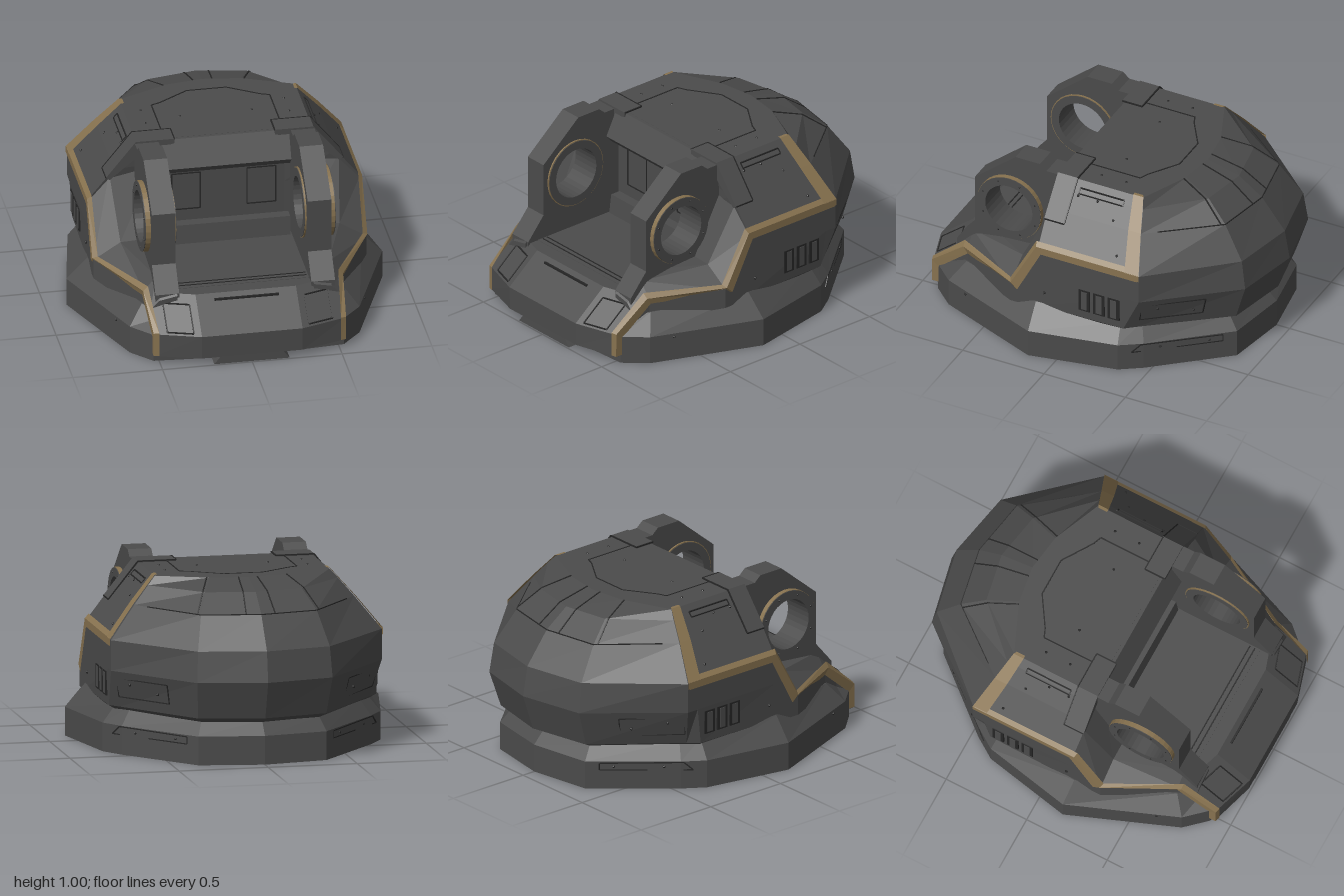
import * as THREE from 'three';

const mat = (name, color, extra = {}) => {
  const m = new THREE.MeshStandardMaterial({ color, flatShading: true, ...extra });
  m.name = name;
  return m;
};

export function createModel() {
  const root = new THREE.Group();
  root.name = 'armouredPod';
  const armour = mat('dark grey armour', 0x4b4b4b);
  const gold = mat('dull gold trim', 0x87724f, { side: THREE.DoubleSide });
  const groove = mat('black groove', 0x262626);

  const add = (name, geo, m = armour) => {
    const mesh = new THREE.Mesh(geo, m);
    mesh.name = name;
    root.add(mesh);
    return mesh;
  };

  const fromTriangles = pos => {
    const g = new THREE.BufferGeometry();
    g.setAttribute('position', new THREE.Float32BufferAttribute(pos, 3));
    g.computeVertexNormals();
    return g;
  };

  // Capped skin through closed rings; s = -1 mirrors it to the other side
  const loft = (name, rings, s = 1) => {
    const R = s > 0 ? rings : rings.map(r => r.map(p => [-p[0], p[1], p[2]]).reverse());
    const pos = [], n = R[0].length;
    const tri = (...ps) => ps.forEach(p => pos.push(...p));
    const centre = r => [0, 1, 2].map(a => r.reduce((t, p) => t + p[a], 0) / n);
    const lo = R[0], hi = R[R.length - 1], cl = centre(lo), ch = centre(hi);
    for (let j = 0; j < n; j++) {
      const k = (j + 1) % n;
      for (let i = 0; i < R.length - 1; i++) {
        tri(R[i][j], R[i][k], R[i + 1][k]);
        tri(R[i][j], R[i + 1][k], R[i + 1][j]);
      }
      tri(cl, lo[k], lo[j]);
      tri(ch, hi[j], hi[k]);
    }
    return add(name, fromTriangles(pos));
  };

  // Half plan of [x, z, own y], back centre to front centre, mirrored into a full ring
  const plan = (y, half) => [
    ...half.map(([x, z, h = y]) => [x, h, z]).reverse(),
    ...half.slice(1, -1).map(([x, z, h = y]) => [-x, h, z]),
  ];

  // Side profile in (z, y) extruded from x0 to x1
  const extrudeX = (name, pts, x0, x1, hole, m = armour) => {
    const shape = pts instanceof THREE.Shape ? pts : new THREE.Shape(pts.map(p => new THREE.Vector2(...p)));
    if (hole) shape.holes.push(new THREE.Path().absarc(...hole, 0, Math.PI * 2, true));
    const g = new THREE.ExtrudeGeometry(shape, { depth: x1 - x0, bevelEnabled: false, curveSegments: 16 });
    g.rotateY(-Math.PI / 2).translate(x1, 0, 0);
    return add(name, g, m);
  };

  // Thin bars along a polyline
  const seam = (name, pts, closed = false, w = 0.007) => {
    const v = pts.map(p => new THREE.Vector3(...p));
    if (closed) v.push(v[0]);
    for (let i = 0; i < v.length - 1; i++) {
      const bar = add(name, new THREE.BoxGeometry(w, w, v[i].distanceTo(v[i + 1])), groove);
      bar.position.copy(v[i]).lerp(v[i + 1], 0.5);
      bar.lookAt(v[i + 1]);
    }
  };

  // Open gold ribbon across rows of points
  const ribbon = (name, rows) => {
    const pos = [];
    for (let i = 0; i < rows.length - 1; i++) {
      for (let j = 0; j < rows[i].length - 1; j++) {
        const [a, b, c, d] = [rows[i][j], rows[i][j + 1], rows[i + 1][j + 1], rows[i + 1][j]];
        [a, b, c, a, c, d].forEach(p => pos.push(...p));
      }
    }
    add(name, fromTriangles(pos), gold);
  };

  // Base skirt, its top edge highest at the sides
  const foot = [[0, -0.92], [0.36, -0.86], [0.7, -0.46], [0.78, -0.34], [0.88, 0.16], [0.64, 0.77], [0.53, 0.89], [0, 0.93]];
  const footTop = [[0, -0.85, 0.235], [0.33, -0.8, 0.235], [0.64, -0.42, 0.255], [0.7, -0.32, 0.26],
    [0.765, 0.17, 0.285], [0.56, 0.7, 0.26], [0.46, 0.82, 0.23], [0, 0.85, 0.23]];
  loft('baseSkirt', [plan(0, foot), plan(0.16, foot), plan(0.25, footTop)]);

  // Domed hull
  const front = [[0.34, 0.14], [0, 0.14]];
  const levels = [
    [0.2, [[0, -0.8], [0.3, -0.75], [0.6, -0.38], [0.66, -0.3], [0.7, 0.16]]],
    [0.26, [[0, -0.93], [0.36, -0.855], [0.7, -0.42], [0.75, -0.36], [0.76, 0.16]]],
    [0.47, [[0, -1], [0.38, -0.92], [0.76, -0.46], [0.76, -0.39], [0.76, 0.16]]],
    [0.64, [[0, -0.97], [0.37, -0.895], [0.76, -0.46], [0.76, -0.39], [0.76, 0.16]]],
    [0.82, [[0, -0.83], [0.325, -0.77], [0.617, -0.4], [0.617, -0.33], [0.617, 0.17]]],
    [0.92, [[0, -0.69], [0.27, -0.64], [0.533, -0.37], [0.533, -0.3], [0.533, 0.17]]],
    [0.968, [[0, -0.5], [0.21, -0.47], [0.49, -0.35], [0.49, -0.28], [0.49, 0.17]]],
  ];
  loft('hull', levels.map(([y, half]) => plan(y, [...half, ...front])));

  // Nose and its lower lip
  const noseRing = (y, ze, zc) => [[0.53, y, 0.55], [-0.53, y, 0.55], [-0.53, y, ze], [-0.28, y, zc], [0.28, y, zc], [0.53, y, ze]];
  loft('nose', [noseRing(0.045, 0.92, 0.995), noseRing(0.18, 0.92, 1), noseRing(0.34, 0.72, 0.8)]);
  loft('noseLip', [[0, 0.21], [0.05, 0.17]].map(([y, x]) => [[x, y, 0.8], [-x, y, 0.8], [-x, y, 0.99], [x, y, 0.99]]));

  // Seat well: floor, rear step and lintel
  extrudeX('wellFloor', [[0.1, 0.26], [0.72, 0.26], [0.72, 0.342], [0.1, 0.342]], -0.37, 0.37);
  extrudeX('wellStep', [[0.1, 0.3], [0.22, 0.3], [0.2, 0.45], [0.1, 0.45]], -0.36, 0.36);
  extrudeX('wellLintel', [[0.1, 0.78], [0.2, 0.78], [0.235, 0.82], [0.16, 0.967], [0.1, 0.967]], -0.36, 0.36);
  seam('floorSeam', [[-0.36, 0.341, 0.66], [0.36, 0.341, 0.66]]);
  seam('lipSeam', [[-0.36, 0.341, 0.69], [0.36, 0.341, 0.69]]);

  // Nose slope position for details
  const onNose = (x, y) => [x, y, 1 - 0.2 * (y - 0.18) / 0.16 - 0.32 * Math.max(0, Math.abs(x) - 0.28)];
  seam('noseSlot', [onNose(-0.18, 0.315), onNose(0.18, 0.315)], false, 0.012);

  // Slanted hull side position for details
  const onSide = (y, z, s) => [s * (0.761 - 0.27 * (y - 0.64) / 0.33), y, z];
  const bolt = (p, r = 0.009) => add('bolt', new THREE.IcosahedronGeometry(r, 0), groove).position.set(...p);

  for (const s of [1, -1]) {
    const X = (a, b) => (s > 0 ? [a, b] : [-b, -a]);
    const mir = pts => pts.map(([x, y, z]) => [s * x, y, z]);

    // Shoulder falling from the hull to the nose
    const station = (z, xo, yb, yo, xm, ym, xi, yi) => [[xo, yb, z], [xo, yo, z], [xm, ym, z], [xi, yi, z], [xi, yb, z]];
    loft('shoulder', [
      station(0.15, 0.76, 0.24, 0.64, 0.64, 0.79, 0.4, 0.79),
      station(0.33, 0.76, 0.24, 0.355, 0.61, 0.45, 0.4, 0.46),
      station(0.7, 0.55, 0.2, 0.335, 0.48, 0.42, 0.38, 0.44),
      station(0.8, 0.53, 0.1, 0.27, 0.48, 0.32, 0.38, 0.34),
    ], s);

    // Ring bracket, gold-rimmed on both faces
    const hole = [0.455, 0.67, 0.145];
    const disc = r => new THREE.Shape().absarc(0.455, 0.67, r, 0, Math.PI * 2);
    extrudeX('ringBracket', [[0.79, 0.3], [0.79, 0.35], [0.68, 0.48], [0.68, 0.79], [0.43, 1], [0.28, 1],
      [0.24, 0.966], [0.05, 0.966], [0.05, 0.3]], ...X(0.368, 0.5), hole);
    extrudeX('ringTrim', disc(0.197), ...X(0.49, 0.527), [0.455, 0.67, 0.16], gold);
    extrudeX('ringFace', disc(0.195), ...X(0.49, 0.531), hole);
    extrudeX('innerRingTrim', disc(0.197), ...X(0.359, 0.38), [0.455, 0.67, 0.16], gold);
    extrudeX('innerRingFace', disc(0.192), ...X(0.356, 0.38), hole);
    for (let i = 0; i < 8; i++) {
      const a = (i + 0.5) * Math.PI / 4;
      bolt([s * 0.53, 0.67 + 0.172 * Math.sin(a), 0.455 + 0.172 * Math.cos(a)], 0.006);
    }

    // Strap over the hull edge
    const strap = [[0.66, 0.772], [0.495, 0.977], [0.28, 0.977]];
    const strapSection = z => [...strap, [0.28, 0.95], [0.48, 0.95], [0.64, 0.755]].map(([x, y]) => [x, y, z]);
    loft('strap', [strapSection(0.05), strapSection(0.172)], s);
    seam('strapEdge', mir(strap.map(([x, y]) => [x, y - 0.002, 0.05])));
    for (const [x, y] of [strap[0], strap[2]]) seam('strapEnd', mir([[x, y - 0.002, 0.05], [x, y - 0.002, 0.17]]));

    // Gold stripe folded over the lower edge
    ribbon('goldStripe', [
      mir([[0.766, 0.605, -0.45], [0.766, 0.605, 0.14], [0.766, 0.328, 0.285], [0.557, 0.31, 0.695], [0.536, 0.15, 0.885], [0.536, 0.05, 0.885]]),
      mir([[0.766, 0.648, -0.45], [0.766, 0.648, 0.168], [0.766, 0.364, 0.325], [0.557, 0.348, 0.722], [0.536, 0.187, 0.925], [0.536, 0.05, 0.926]]),
      mir([[0.742, 0.67, -0.45], [0.742, 0.67, 0.178], [0.738, 0.378, 0.338], [0.53, 0.375, 0.725], [0.506, 0.19, 0.934], [0.506, 0.05, 0.934]]),
    ]);

    // Gold band rising up the hull
    ribbon('goldBand', [
      mir([[0.767, 0.61, -0.462], [0.767, 0.646, -0.462], [0.622, 0.826, -0.402], [0.492, 0.973, -0.352], [0.475, 0.974, -0.342]]),
      mir([[0.767, 0.61, -0.38], [0.767, 0.646, -0.375], [0.622, 0.826, -0.325], [0.492, 0.973, -0.29], [0.475, 0.974, -0.29]]),
    ]);

    // Side vents
    for (const z of [-0.125, -0.215, -0.305]) {
      const vent = add('vent', new THREE.BoxGeometry(0.014, 0.135, 0.07), groove);
      vent.position.set(s * 0.756, 0.378, z);
      const slat = add('ventSlat', new THREE.BoxGeometry(0.014, 0.115, 0.036));
      slat.position.set(s * 0.759, 0.378, z);
    }

    // Panel outlines
    seam('nosePanel', [[0.32, 0.19], [0.46, 0.19], [0.46, 0.3], [0.32, 0.3]].map(([x, y]) => onNose(s * x, y)), true);
    seam('wallPanel', mir([[0.13, 0.52, 0.14], [0.29, 0.52, 0.14], [0.29, 0.74, 0.14], [0.13, 0.74, 0.14]]), true);
    seam('sidePanel', [[0.935, 0.02], [0.935, -0.25], [0.91, -0.25], [0.91, 0.02]].map(([y, z]) => onSide(y, z, s)), true);
    seam('skirtSlot', mir([[0.74, 0.11, -0.405], [0.41, 0.11, -0.8], [0.41, 0.15, -0.8], [0.71, 0.155, -0.447]]), true, 0.006);
    seam('rearPanel', mir([[0.71, 0.32, -0.438], [0.49, 0.32, -0.715], [0.51, 0.43, -0.745], [0.73, 0.43, -0.467]]), true, 0.006);

    // Dome seams running between hull levels
    const [low, mid, top] = levels.slice(4).map(([y, h]) => (i, t) =>
      [s * (h[i][0] + (h[i + 1][0] - h[i][0]) * t), y, h[i][1] + (h[i + 1][1] - h[i][1]) * t]);
    for (const [i, t] of [[0, 0.25], [1, 0.05]]) seam('domeSeam', [low(i, t), mid(i, t), top(i, t)]);
    seam('domeBand', [low(0, 0), low(1, 0), low(1, 0.8)], false, 0.005);
    seam('roofSeam', mir([[0, 0.967, -0.38], [0.11, 0.967, -0.38], [0.28, 0.967, -0.27], [0.33, 0.967, -0.25], [0.33, 0.967, 0.05]]));

    // Bolts
    [[0.7, -0.3], [0.9, -0.1], [0.9, 0.02], [0.84, -0.22]].forEach(([y, z]) => bolt(onSide(y, z, s)));
    mir([[0.762, 0.355, 0.12], [0.69, 0.14, 0.64], [0.67, 0.4, -0.53], [0.55, 0.37, -0.69], [0.64, 0.13, -0.53],
      [0.46, 0.13, -0.74], [0.2, 0.966, -0.1], [0.4, 0.966, -0.05], [0.4, 0.966, -0.2]]).forEach(p => bolt(p));
  }
  return root;
}
